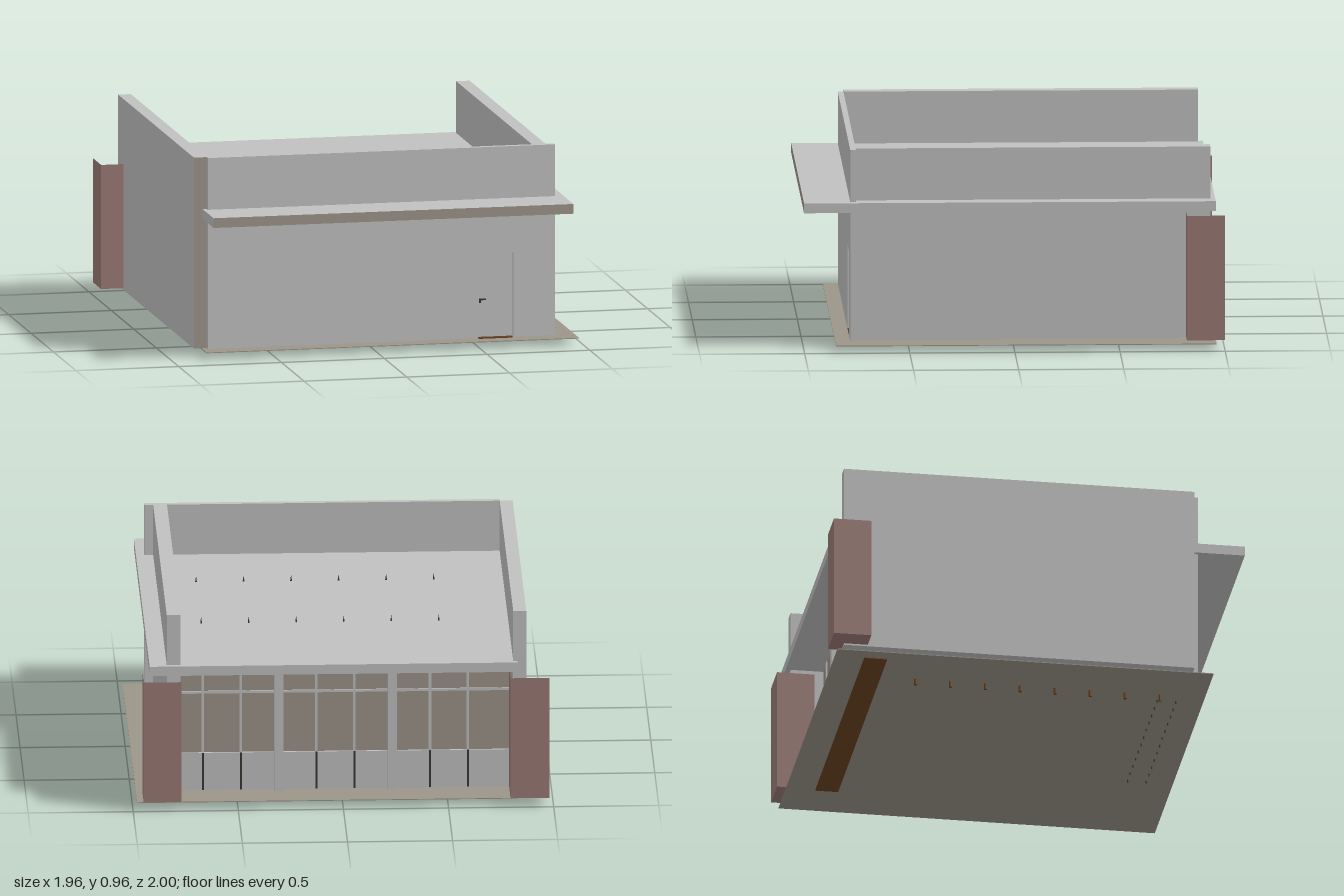
import * as THREE from 'three';

const mat = (name, color, side = THREE.FrontSide) => {
  const m = new THREE.MeshStandardMaterial({ color, side });
  m.name = name;
  return m;
};

export function createModel() {
  const grey = mat('concrete grey', 0xc0c0c0);
  const tan = mat('tan', 0x9b9489);
  const red = mat('dusty red', 0x9a7a75);
  const brown = mat('wood brown', 0x6b4420);
  const dark = mat('dark metal', 0x3a3630);

  const model = new THREE.Group();
  model.name = 'pavilion';

  const add = (name, geo, material, x = 0, y = 0, z = 0, parent = model) => {
    const m = new THREE.Mesh(geo, material);
    m.name = name;
    m.position.set(x, y, z);
    parent.add(m);
    return m;
  };
  // box given by its minimum and maximum on every axis
  const box = (name, material, x0, x1, y0, y1, z0, z1, parent = model) =>
    add(name, new THREE.BoxGeometry(x1 - x0, y1 - y0, z1 - z0), material,
      (x0 + x1) / 2, (y0 + y1) / 2, (z0 + z1) / 2, parent);
  const group = (name) => {
    const g = new THREE.Group();
    g.name = name;
    model.add(g);
    return g;
  };

  // floor sheet and the roof slab with its tan front fascia
  box('floor', tan, -0.832, 0.98, 0.03, 0.034, -0.96, 0.85);
  box('roofSlab', [grey, grey, grey, grey, tan, grey], -0.83, 0.92, 0.663, 0.71, -0.958, 1.0);

  // side walls rise above the roof as parapets
  box('rightWall', [grey, grey, grey, grey, tan, grey], -0.872, -0.81, 0.037, 0.96, -0.935, 0.752);
  box('leftWall', grey, 0.772, 0.838, 0.037, 0.96, -0.935, 0.752);

  // front wall with a door opening
  const wall = new THREE.Shape([[-0.81, 0.037], [0.505, 0.037], [0.505, 0.445], [0.677, 0.445],
    [0.677, 0.037], [0.88, 0.037], [0.88, 0.96], [-0.81, 0.96]].map(p => new THREE.Vector2(...p)));
  add('frontWall', new THREE.ExtrudeGeometry(wall, { depth: 0.027, bevelEnabled: false }), grey, 0, 0, 0.752);

  // door set back in the opening
  const door = group('door');
  box('doorLeaf', grey, 0.505, 0.677, 0.041, 0.445, 0.752, 0.762, door);
  box('doorSill', brown, 0.51, 0.672, 0.034, 0.041, 0.752, 0.778, door);
  box('doorHandle', dark, 0.514, 0.544, 0.219, 0.226, 0.766, 0.772, door);
  box('doorHandleStem', dark, 0.514, 0.521, 0.205, 0.226, 0.762, 0.768, door);

  // back corner pillars, open at the top
  const pillar = (name, x0, x1) => {
    const m = box(name, red, x0, x1, 0.045, 0.645, -1.0, -0.82);
    const index = Array.from(m.geometry.index.array);
    index.splice(12, 6);
    m.geometry.clearGroups();
    m.geometry.setIndex(index);
  };
  pillar('leftPillar', 0.77, 0.95);
  pillar('rightPillar', -0.98, -0.795);

  // glazed back: low panels, tall windows, mullions and columns
  const back = group('backFacade');
  box('windowGlass', tan, -0.81, 0.772, 0.22, 0.663, -0.775, -0.767, back);
  box('lowerPanel', grey, -0.81, 0.772, 0.034, 0.22, -0.785, -0.76, back);
  box('transom', grey, -0.81, 0.772, 0.515, 0.527, -0.782, -0.775, back);
  for (let i = 0; i < 8; i++) {
    const x = 0.66 - i * 0.18;
    if (i === 2 || i === 5) {
      box('column', grey, x - 0.022, x + 0.022, 0.034, 0.663, -0.815, -0.765, back);
    } else {
      box('mullion', grey, x - 0.006, x + 0.006, 0.22, 0.663, -0.783, -0.775, back);
      box('panelJoint', dark, x - 0.005, x + 0.005, 0.036, 0.22, -0.788, -0.785, back);
    }
  }

  // parts under the floor: sill beam, feet and two rows of pins
  box('sillBeam', brown, -0.765, 0.745, 0.025, 0.03, -0.82, -0.71);
  const footGeo = new THREE.CylinderGeometry(0.008, 0.008, 0.034, 10);
  const feet = group('feet');
  for (let i = 0; i < 8; i++) add('foot', footGeo, brown, -0.557, 0.017, 0.635 - i * 0.168, feet);
  const pinGeo = new THREE.CylinderGeometry(0.004, 0.003, 0.014, 6);
  const pins = group('floorPins');
  for (const z of [0.72, 0.63]) {
    for (let i = 0; i < 12; i++) add('pin', pinGeo, dark, -0.5 + i * 0.0825, 0.025, z, pins);
  }

  // small spikes through the roof
  const spikeGeo = new THREE.ConeGeometry(0.005, 0.03, 6);
  const spikes = group('roofSpikes');
  for (const z of [0.33, -0.3]) {
    for (let i = 0; i < 6; i++) add('spike', spikeGeo, dark, 0.65 - i * 0.226, 0.725, z, spikes);
  }

  return model;
}
